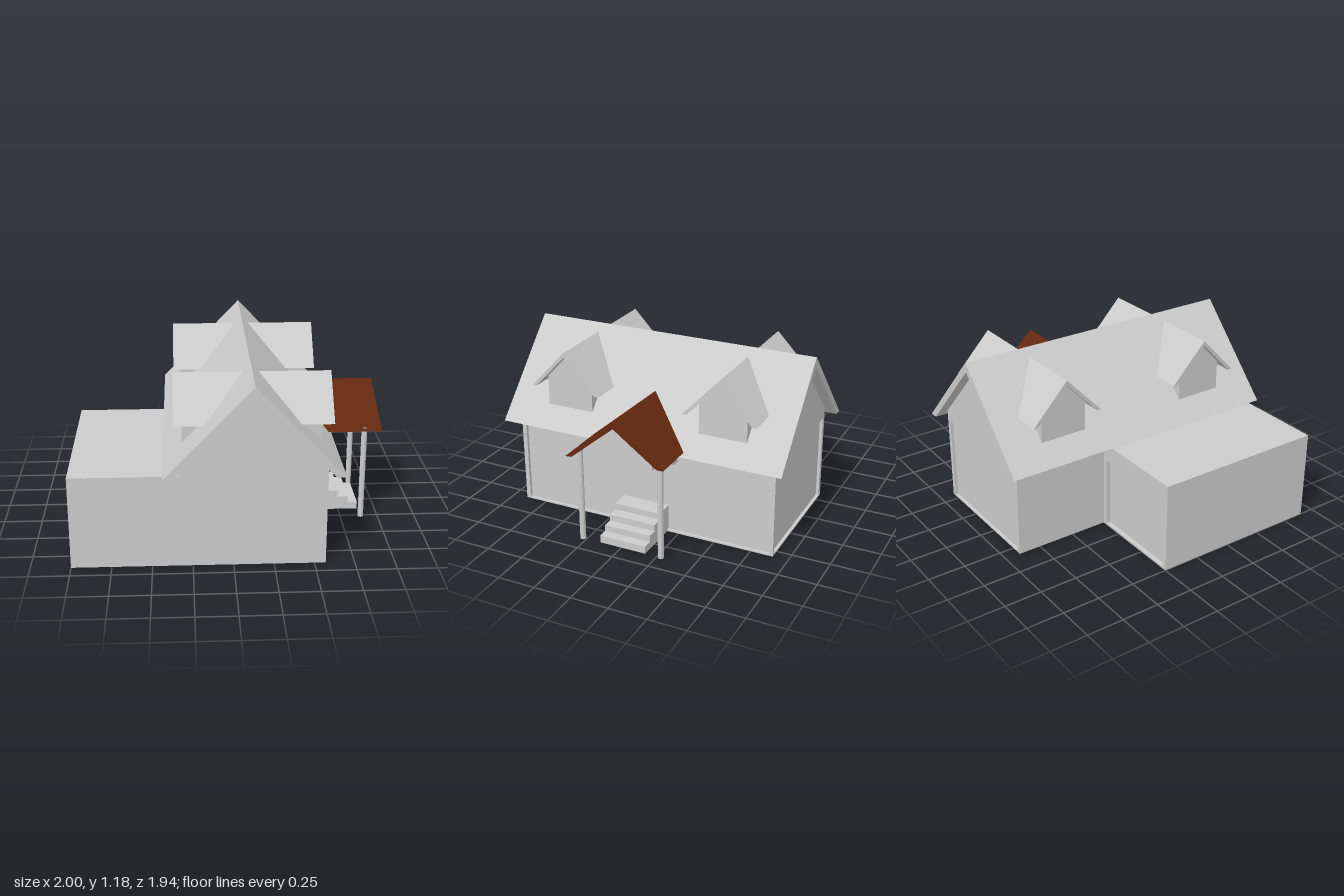
import * as THREE from 'three';

const grey = new THREE.MeshStandardMaterial({ color: 0xcccccc, flatShading: true });
const brown = new THREE.MeshStandardMaterial({ color: 0x63280f, flatShading: true });

const RIDGE_X = 0.12; // centre line of the main roof

function prism(points, depth) {
  const shape = new THREE.Shape(points.map(([a, b]) => new THREE.Vector2(a, b)));
  return new THREE.ExtrudeGeometry(shape, { depth, bevelEnabled: false });
}
// plan outline (x, z) raised from y0 to y1
const alongY = (pts, y0, y1) => prism(pts, y1 - y0).rotateX(Math.PI / 2).translate(0, y1, 0);
// profile (-z, y) running from x0 to x1
const alongX = (pts, x0, x1) => prism(pts, x1 - x0).rotateY(Math.PI / 2).translate(x0, 0, 0);
// profile (x, y) running from z0 to z1
const alongZ = (pts, z0, z1) => prism(pts, z1 - z0).translate(0, 0, z0);

// inverted V section of a pitched roof slab
function chevron(half, eave, ridge, t) {
  const drop = t * (ridge - eave) / half;
  return [[-half, eave], [-half + t, eave], [0, ridge - drop], [half - t, eave], [half, eave], [0, ridge]];
}
// house-shaped wall section
const gable = (half, base, shoulder, apex) =>
  [[-half, base], [half, base], [half, shoulder], [0, apex], [-half, shoulder]];

export function createModel() {
  const model = new THREE.Group();
  const add = (name, geometry, material = grey) => {
    const mesh = new THREE.Mesh(geometry, material);
    mesh.name = name;
    model.add(mesh);
    return mesh;
  };
  const box = (name, x0, x1, y0, y1, z0, z1) =>
    add(name, new THREE.BoxGeometry(x1 - x0, y1 - y0, z1 - z0)
      .translate((x0 + x1) / 2, (y0 + y1) / 2, (z0 + z1) / 2));

  // L-shaped house body: walls recessed between corner strips
  const outline = [[-1, 0.9], [0.57, 0.9], [0.57, -0.9], [-0.33, -0.9], [-0.33, -0.25], [-1, -0.25]];
  const walls = [
    [-1, 0.9], [0.57, 0.9], [0.57, 0.87], [0.55, 0.87], [0.55, -0.87], [0.57, -0.87],
    [0.57, -0.9], [0.54, -0.9], [0.54, -0.88], [-0.3, -0.88], [-0.3, -0.9], [-0.33, -0.9],
    [-0.33, -0.25], [-0.36, -0.25], [-0.36, -0.22], [-0.97, -0.22], [-0.97, -0.25], [-1, -0.25],
  ];
  add('floorSlab', alongY(outline, 0, 0.01));
  add('walls', alongY(walls, 0.01, 0.585));
  add('wallTopPlate', alongY(outline, 0.585, 0.6));
  box('wingLintel', -0.97, -0.36, 0.49, 0.585, -0.25, -0.21);

  // main roof and the gable walls under it
  add('atticGable', alongZ(gable(0.45, 0.6, 0.66, 1.13), -0.9, 0.9).translate(RIDGE_X, 0, 0));
  add('mainRoof', alongZ(chevron(0.55, 0.605, 1.18, 0.06), -0.97, 0.97).translate(RIDGE_X, 0, 0));

  // dormers: each pair runs through the main roof and shows on both slopes
  for (const z of [0.53, -0.54]) {
    add('dormerWalls', alongX(gable(0.16, 0.72, 0.945, 1.11), -0.31, 0.55).translate(0, 0, z));
    add('dormerRoof', alongX(chevron(0.245, 0.87, 1.13, 0.03), -0.36, 0.615).translate(0, 0, z));
  }

  // porch roof, its outer end cut slightly askew
  const porch = alongX(chevron(0.315, 0.63, 0.89, 0.04), 0.4, 0.962);
  const p = porch.attributes.position;
  for (let i = 0; i < p.count; i++) {
    if (p.getX(i) > 0.9) p.setX(i, 0.962 + 0.11 * p.getZ(i));
  }
  porch.translate(0, 0, -0.008).computeVertexNormals();
  add('porchRoof', porch, brown);
  add('porchGable', alongX(gable(0.23, 0.6, 0.68, 0.86), 0.54, 0.9).translate(0, 0, -0.005));

  // porch posts and wall brackets
  const bracket = [[0.54, 0.505], [0.597, 0.505], [0.672, 0.6], [0.672, 0.615], [0.54, 0.615]];
  for (const side of [1, -1]) {
    add('porchPost', new THREE.CylinderGeometry(0.019, 0.019, 0.645, 12)
      .translate(0.885, 0.3275, side * 0.277 - 0.005));
    const z = side * 0.2 - 0.005;
    add('porchBracket', alongZ(bracket, z - 0.03, z + 0.03));
  }

  // entrance steps
  const steps = [
    [0.54, 0], [0.88, 0], [0.88, 0.05], [0.815, 0.05], [0.815, 0.093], [0.75, 0.093],
    [0.75, 0.137], [0.675, 0.137], [0.675, 0.18], [0.54, 0.18],
  ];
  add('steps', alongZ(steps, -0.17, 0.15));

  return model;
}
